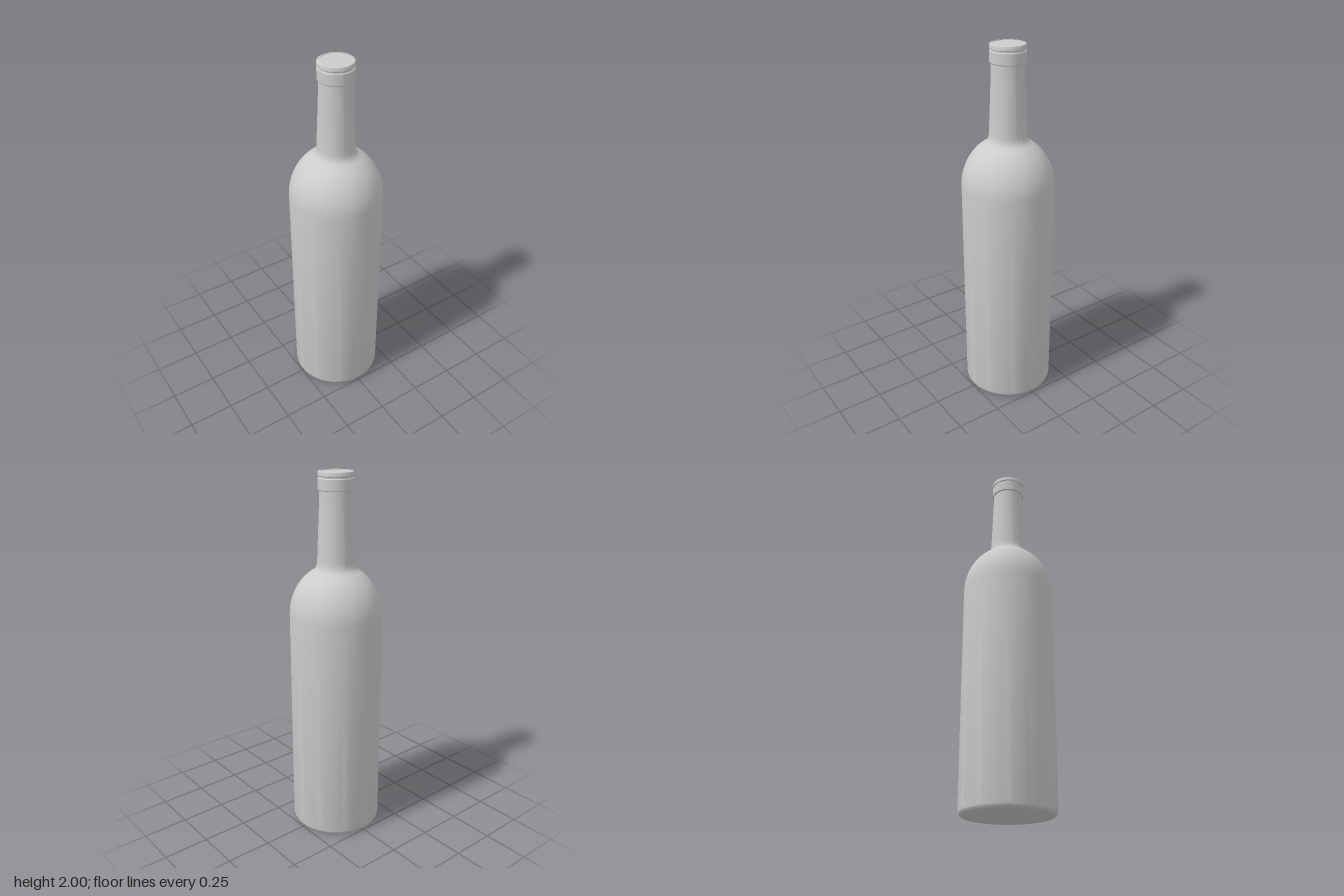
import * as THREE from 'three';
import { toCreasedNormals } from 'three/addons/utils/BufferGeometryUtils.js';

const SEGMENTS = 64;

// Revolve a bottom-to-top profile of [radius, height] pairs, keeping hard edges crisp
function turned(name, points, material) {
  const profile = points.map(([r, y]) => new THREE.Vector2(r, y));
  const geometry = toCreasedNormals(new THREE.LatheGeometry(profile, SEGMENTS), 0.6);
  const mesh = new THREE.Mesh(geometry, material);
  mesh.name = name;
  return mesh;
}

// Quarter-ellipse points between two angles (degrees)
function arc(cx, cy, rx, ry, from, to, steps) {
  return Array.from({ length: steps + 1 }, (_, i) => {
    const a = THREE.MathUtils.degToRad(from + ((to - from) * i) / steps);
    return [cx + rx * Math.cos(a), cy + ry * Math.sin(a)];
  });
}

export function createModel() {
  const glass = new THREE.MeshStandardMaterial({ color: 0xcccccc });
  glass.name = 'pale grey';

  const bottle = new THREE.Group();
  bottle.name = 'bottle';

  // Flat base, rounded heel, straight wall, domed shoulder and tapering neck
  bottle.add(turned('bottleBody', [
    [0, 0],
    ...arc(0.222, 0.03, 0.028, 0.03, -90, 0, 6),
    ...arc(0, 1.25, 0.25, 0.275, 0, 62, 14),
    [0.106, 1.507], [0.101, 1.522], [0.099, 1.54], [0.098, 1.57],
    [0.086, 1.86], [0.086, 1.91],
  ], glass));

  // Raised collar below the mouth
  bottle.add(turned('collar', [
    [0.084, 1.905], [0.09, 1.905], [0.093, 1.909],
    [0.093, 1.964], [0.09, 1.968], [0.084, 1.968],
  ], glass));

  // Narrow groove between collar and lip
  bottle.add(turned('neckGroove', [[0.088, 1.96], [0.088, 1.98]], glass));

  // Lip ring with a softened outer edge
  bottle.add(turned('lip', [
    [0.084, 1.974], [0.09, 1.974], [0.093, 1.977],
    [0.093, 1.993], [0.091, 1.998], [0.088, 2], [0.082, 2], [0.082, 1.99],
  ], glass));

  // Disc closing the mouth
  bottle.add(turned('mouthDisc', [[0.083, 1.997], [0, 1.997]], glass));

  return bottle;
}
